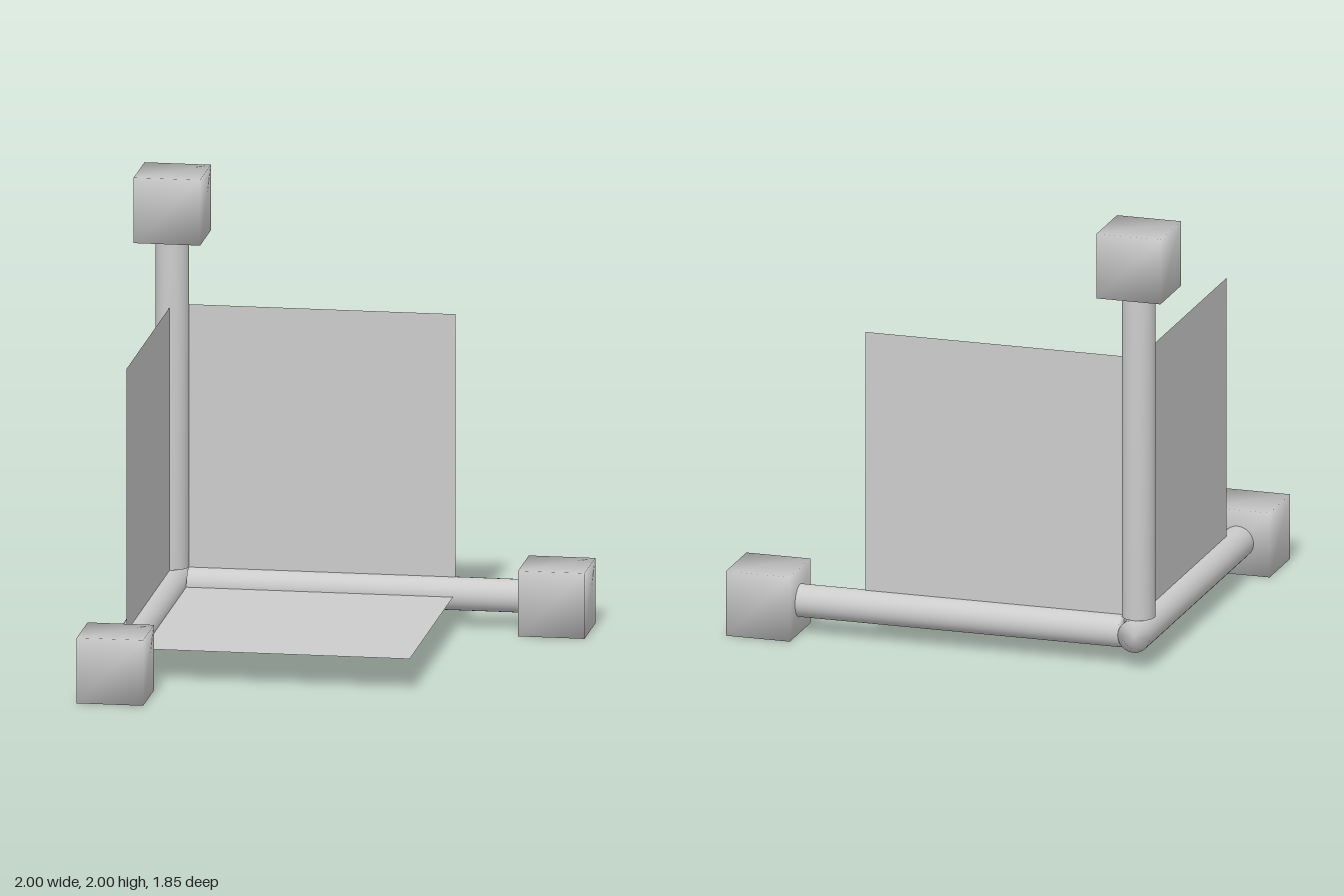
import * as THREE from 'three';
import { mergeVertices } from 'three/addons/utils/BufferGeometryUtils.js';

const CORNER = new THREE.Vector3(-0.853, 0.147, -0.78); // where the three axes meet
const R = 0.0735;      // rod radius
const CUBE = 0.295;    // end cube edge
const LEN = 1.633;     // rod length
const PLANE = 1.184;   // square panel edge

// Weld all corners so that shading runs smoothly over the edges
function weld(geometry) {
  geometry.deleteAttribute('uv');
  geometry.deleteAttribute('normal');
  const welded = mergeVertices(geometry, 1e-4);
  welded.computeVertexNormals();
  return welded;
}

export function createModel() {
  const model = new THREE.Group();
  model.name = 'axisTripod';
  const grey = new THREE.MeshStandardMaterial({ color: 0xcccccc });
  const thin = new THREE.MeshStandardMaterial({ color: 0xcccccc, side: THREE.DoubleSide });

  const rodGeometry = weld(new THREE.CylinderGeometry(R, R, LEN, 32));
  const cubeGeometry = weld(new THREE.BoxGeometry(CUBE, CUBE, CUBE));
  const panelGeometry = new THREE.PlaneGeometry(PLANE, PLANE);

  // The depth rod runs through the corner; the other two butt against it
  const axes = [
    { name: 'width', dir: [1, 0, 0], start: R },
    { name: 'height', dir: [0, 1, 0], start: R },
    { name: 'depth', dir: [0, 0, 1], start: -R },
  ];
  const up = new THREE.Vector3(0, 1, 0);
  for (const { name, dir, start } of axes) {
    const d = new THREE.Vector3(...dir);
    const rod = new THREE.Mesh(rodGeometry, grey);
    rod.name = name + 'Rod';
    rod.quaternion.setFromUnitVectors(up, d);
    rod.position.copy(CORNER).addScaledVector(d, start + LEN / 2);

    // Cube centred on the far end of the rod
    const cube = new THREE.Mesh(cubeGeometry, grey);
    cube.name = name + 'EndCube';
    cube.position.copy(CORNER).addScaledVector(d, start + LEN);
    model.add(rod, cube);
  }

  // Square panels spanning each pair of rods
  const c = R + PLANE / 2;
  const panels = [
    { name: 'backPanel', at: [c, c, 0], turn: [0, 0, 0] },
    { name: 'sidePanel', at: [0, c, c], turn: [0, Math.PI / 2, 0] },
    { name: 'floorPanel', at: [c, 0, c], turn: [-Math.PI / 2, 0, 0] },
  ];
  for (const { name, at, turn } of panels) {
    const panel = new THREE.Mesh(panelGeometry, thin);
    panel.name = name;
    panel.position.set(...at).add(CORNER);
    panel.rotation.set(...turn);
    model.add(panel);
  }
  return model;
}
